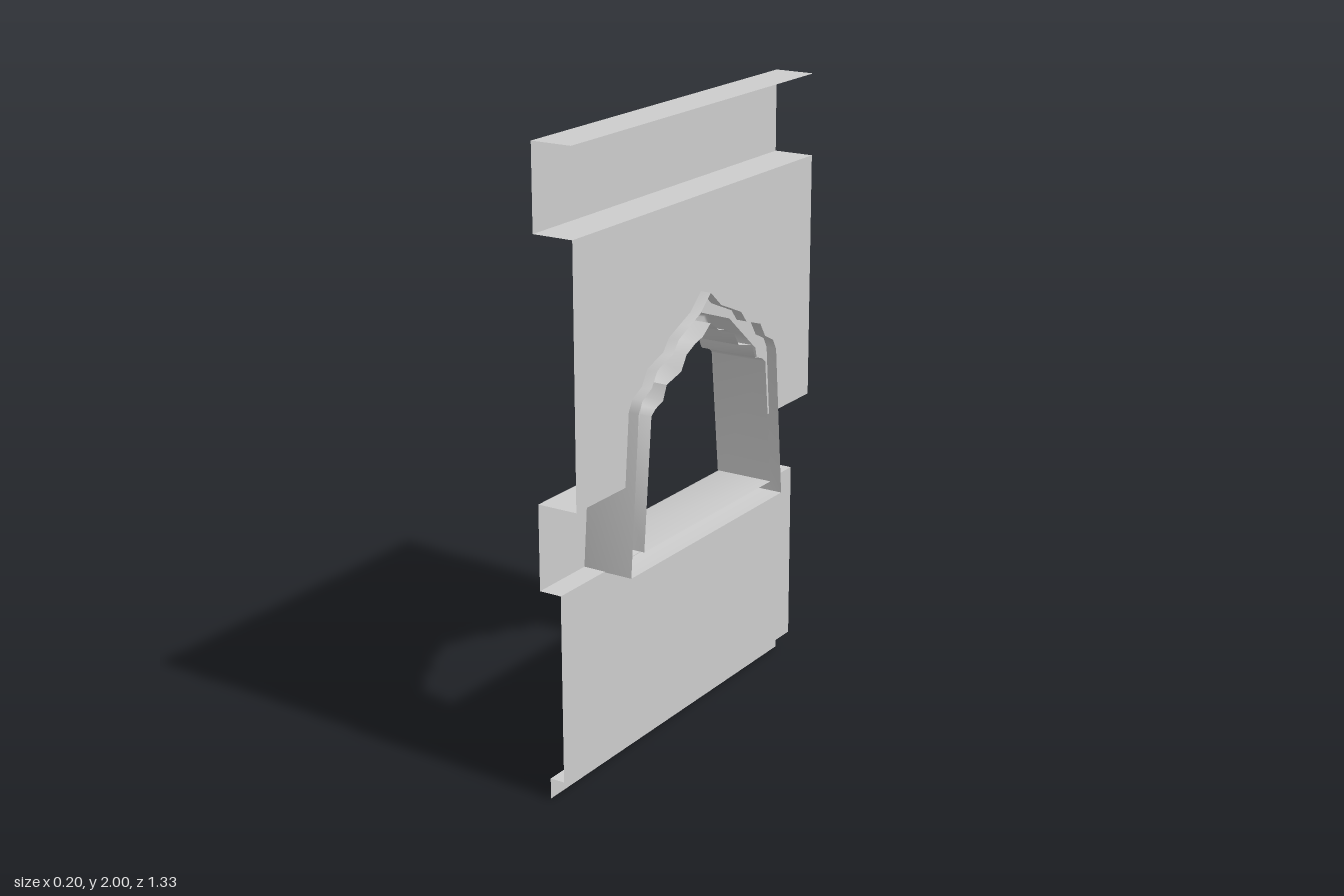
import * as THREE from 'three';
import { toCreasedNormals } from 'three/addons/utils/BufferGeometryUtils.js';

const HALF = 0.667; // half width of the wall along z
const FRONT = 0.067, BACK = -0.067, LOW = 0.007, PLINTH = -0.042;

// half outlines of the cusped arch as [z, y], from the sill up to the tip
const INNER = [[0.37, 0.725], [0.328, 1.14], [0.305, 1.157], [0.265, 1.17], [0.245, 1.215],
  [0.165, 1.235], [0.135, 1.28], [0.085, 1.303], [0.045, 1.313], [0, 1.345]];
const OUTER = [[0.44, 0.665], [0.395, 1.165], [0.375, 1.2], [0.325, 1.225], [0.295, 1.272],
  [0.21, 1.3], [0.178, 1.338], [0.115, 1.365], [0.06, 1.388], [0, 1.44]];

// closed loop from a half outline
const mirrorLoop = (half) => [...half, ...half.slice(0, -1).reverse().map(([z, y]) => [-z, y])];

export function createModel() {
  const group = new THREE.Group();
  const material = new THREE.MeshStandardMaterial({ color: 0xcccccc, side: THREE.DoubleSide });

  const add = (name, geometry) => {
    const mesh = new THREE.Mesh(geometry, material);
    mesh.name = name;
    group.add(mesh);
    return mesh;
  };

  // upright sheet at a given x, outlined in [z, y]
  const sheet = (name, x, points) => {
    const shape = new THREE.Shape(points.map(([z, y]) => new THREE.Vector2(z, y)));
    const geometry = new THREE.ShapeGeometry(shape).rotateY(Math.PI / 2).scale(1, 1, -1);
    // scaling mirrors the sheet, so restore the winding
    const index = geometry.index;
    for (let i = 0; i < index.count; i += 3) {
      const a = index.getX(i);
      index.setX(i, index.getX(i + 1));
      index.setX(i + 1, a);
    }
    geometry.computeVertexNormals();
    add(name, geometry).position.x = x;
  };
  const rect = (z0, z1, y0, y1) => [[z0, y0], [z1, y0], [z1, y1], [z0, y1]];

  // level strip joining two sheets
  const ledge = (name, y, x0, x1, z0 = -HALF, z1 = HALF) => {
    const geometry = new THREE.PlaneGeometry(x1 - x0, z1 - z0).rotateX(-Math.PI / 2);
    add(name, geometry).position.set((x0 + x1) / 2, y, (z0 + z1) / 2);
  };

  // stepped wall, top to bottom
  ledge('wallTop', 2, BACK, FRONT);
  sheet('topBand', BACK, rect(-HALF, HALF, 1.737, 2));
  ledge('upperLedge', 1.737, BACK, FRONT);
  sheet('mainPanel', FRONT, [
    [HALF, 0.937], [HALF, 1.737], [-HALF, 1.737], [-HALF, 0.937],
    [-0.387, 0.937], [-0.325, 1.18], [-0.165, 1.315], [0, 1.373],
    [0.165, 1.315], [0.325, 1.18], [0.387, 0.937],
  ]);
  for (const s of [-1, 1]) {
    const span = (inner) => (s > 0 ? [inner, HALF] : [-HALF, -inner]);
    ledge('middleLedge', 0.937, BACK, FRONT, ...span(0.387));
    sheet('middleBand', BACK, [[s * 0.414, 0.667], [s * HALF, 0.667], [s * HALF, 0.937], [s * 0.387, 0.937]]);
    ledge('sillLedge', 0.667, BACK, LOW, ...span(0.414));
  }
  sheet('lowerPanel', LOW, rect(-HALF, HALF, 0.067, 0.667));
  ledge('plinthLedge', 0.067, PLINTH, LOW);
  sheet('plinth', PLINTH, rect(-HALF, HALF, 0, 0.067));

  // window frame: a channel open towards +x, [x, blend from outer to inner outline]
  const section = [[0.102, 0], [-0.092, 0], [-0.099, 0.04], [-0.103, 0.13],
    [-0.103, 0.87], [-0.099, 0.96], [-0.092, 1], [0.102, 1]];
  const outer = mirrorLoop(OUTER), inner = mirrorLoop(INNER);
  const n = outer.length;
  const positions = [], indices = [];
  section.forEach(([x, t], j) => {
    for (let i = 0; i < n; i++) {
      const mix = (k) => outer[i][k] + (inner[i][k] - outer[i][k]) * t;
      positions.push(x, mix(1), mix(0));
      if (j === 0) continue;
      const a = (j - 1) * n + i, b = (j - 1) * n + (i + 1) % n;
      indices.push(a, a + n, b, b, a + n, b + n);
    }
  });
  const frame = new THREE.BufferGeometry();
  frame.setAttribute('position', new THREE.Float32BufferAttribute(positions, 3));
  frame.setIndex(indices);
  add('windowFrame', toCreasedNormals(frame, 0.85));

  return group;
}
